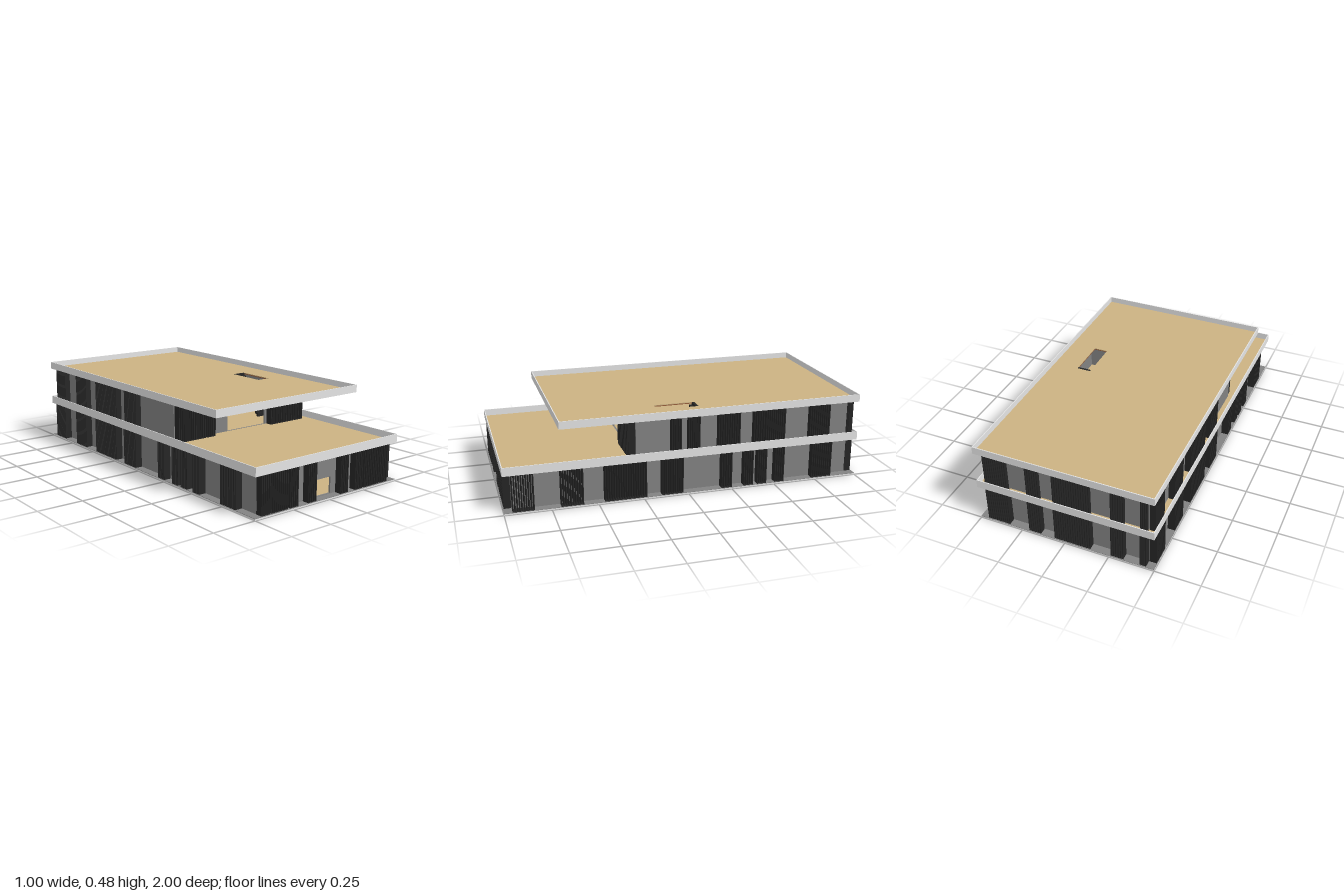
import * as THREE from 'three';
import { mergeGeometries } from 'three/addons/utils/BufferGeometryUtils.js';

const mat = (name, color) => Object.assign(new THREE.MeshStandardMaterial({ color }), { name });

export function createModel() {
  const root = new THREE.Group();
  root.name = 'pavilion';
  const wallGrey = mat('wall grey', 0x828282);
  const trimGrey = mat('light trim grey', 0xe4e4e4);
  const tan = mat('floor tan', 0xcbb282);
  const brown = mat('soffit brown', 0x985f3c);
  const black = mat('fin black', 0x252525);

  const add = (name, geo, material) => {
    const m = new THREE.Mesh(geo, material);
    m.name = name;
    root.add(m);
  };
  // Box given by its minimum and maximum corners
  const boxGeo = (x0, x1, y0, y1, z0, z1) =>
    new THREE.BoxGeometry(x1 - x0, y1 - y0, z1 - z0)
      .translate((x0 + x1) / 2, (y0 + y1) / 2, (z0 + z1) / 2);
  const rect = (Type, x0, x1, y0, y1) => new Type([
    [x0, y0], [x1, y0], [x1, y1], [x0, y1],
  ].map(([x, y]) => new THREE.Vector2(x, y)));
  // Rectangular panel with an optional rectangular opening
  const panel = (outer, hole, depth) => {
    const s = rect(THREE.Shape, ...outer);
    if (hole) s.holes.push(rect(THREE.Path, ...hole));
    return new THREE.ExtrudeGeometry(s, { depth, bevelEnabled: false });
  };
  // Horizontal plate whose underside is at y
  const plate = (x0, x1, z0, z1, y, depth, hole) =>
    panel([x0, x1, -z1, -z0], hole && [hole[0], hole[1], -hole[3], -hole[2]], depth)
      .rotateX(-Math.PI / 2).translate(0, y, 0);

  // Ground slab with grey paving and the interior floor
  add('baseSlab', boxGeo(-0.5, 0.5, 0, 0.008, -1, 1), trimGrey);
  add('paving', boxGeo(-0.5, 0.5, 0.008, 0.01, -1, 1), wallGrey);
  add('groundFloor', boxGeo(-0.445, 0.445, 0.01, 0.013, -0.945, 0.945), tan);

  // Roof deck: brown soffit, tan top and a thin parapet
  const deck = (name, z0, z1, y0, y1, hole) => {
    add(name + 'Soffit', plate(-0.495, 0.495, z0 + 0.005, z1 - 0.005, y0, 0.005, hole), brown);
    add(name + 'Top', plate(-0.495, 0.495, z0 + 0.005, z1 - 0.005, y0 + 0.005, 0.004, hole), tan);
    add(name + 'Parapet', plate(-0.5, 0.5, z0, z1, y0, y1 - y0,
      [-0.495, 0.495, z0 + 0.005, z1 - 0.005]), trimGrey);
  };
  const stairHole = [0.27, 0.35, -0.1, 0.135];
  deck('lowerRoof', -1, 1, 0.215, 0.262);
  deck('upperRoof', -1, 0.7, 0.44, 0.482, stairHole);

  // Hollow storey walls with an opening at the front
  const walls = (name, y0, y1, z0, z1, door) => {
    add(name + 'FrontWall', panel([-0.455, 0.455, y0, y1], door, 0.01)
      .translate(0, 0, z1 - 0.01), wallGrey);
    add(name + 'BackWall', boxGeo(-0.455, 0.455, y0, y1, z0, z0 + 0.01), wallGrey);
    for (const s of [-1, 1]) {
      add(name + 'SideWall', boxGeo(-0.005, 0.005, y0, y1, z0 + 0.01, z1 - 0.01)
        .translate(s * 0.45, 0, 0), wallGrey);
    }
  };
  walls('lower', 0.01, 0.215, -0.955, 0.955, [-0.05, 0.047, 0.0131, 0.102]);
  walls('upper', 0.224, 0.44, -0.95, 0.285, [-0.088, 0.188, 0.2245, 0.355]);

  // Groups of upright fins standing in front of one wall, with end rails
  const fins = (name, groups, y0, y1, alongX, d0, d1) => {
    const geos = [];
    const bar = (a0, a1, b0, b1) => geos.push(alongX
      ? boxGeo(a0, a1, b0, b1, d0, d1) : boxGeo(d0, d1, b0, b1, a0, a1));
    for (const [a, b] of groups) {
      const n = Math.max(2, Math.round((b - a) / 0.0135));
      for (let i = 0; i <= n; i++) {
        const c = a + 0.0025 + (b - a - 0.005) * i / n;
        bar(c - 0.0025, c + 0.0025, y0, y1);
      }
      bar(a, b, y0, y0 + 0.003);
      bar(a, b, y1 - 0.003, y1);
    }
    add(name, mergeGeometries(geos), black);
  };

  const lowerRight = [[0.84, 0.955], [0.58, 0.7], [0.235, 0.465], [0.03, 0.15], [-0.25, -0.19],
    [-0.375, -0.32], [-0.455, -0.4], [-0.56, -0.505], [-0.85, -0.73]];
  const lowerLeft = lowerRight.map(([a, b]) => [-b, -a]);
  const upperRight = [[0.04, 0.095], [-0.065, 0], [-0.295, -0.17],
    [-0.435, -0.375], [-0.56, -0.445], [-0.83, -0.71]];
  const upperLeft = [[-0.95, -0.84], [-0.7, -0.58], [-0.465, -0.235], [-0.15, -0.03]];
  const back = [[0.325, 0.455], [0.14, 0.21], [-0.145, 0.06], [-0.33, -0.26], [-0.455, -0.42]];
  const lowerFront = [[-0.455, -0.4], [-0.394, -0.283], [-0.27, -0.215], [-0.147, -0.09],
    [0.083, 0.137], [0.19, 0.245], [0.258, 0.37], [0.38, 0.437]];
  const upperFront = [[-0.45, -0.333], [-0.327, -0.272], [-0.26, -0.203],
    [0.203, 0.258], [0.268, 0.38], [0.39, 0.45]];

  fins('lowerFrontFins', lowerFront, 0.01, 0.215, true, 0.956, 0.995);
  fins('lowerBackFins', back, 0.01, 0.215, true, -0.995, -0.956);
  fins('lowerRightFins', lowerRight, 0.01, 0.215, false, 0.456, 0.497);
  fins('lowerLeftFins', lowerLeft, 0.01, 0.215, false, -0.497, -0.456);
  fins('upperFrontFins', upperFront, 0.224, 0.44, true, 0.286, 0.325);
  fins('upperBackFins', back, 0.224, 0.44, true, -0.99, -0.966);
  fins('upperRightFins', upperRight, 0.224, 0.44, false, 0.456, 0.49);
  fins('upperLeftFins', upperLeft, 0.224, 0.44, false, -0.49, -0.456);

  // Stair from the upper floor to the roof
  const treads = [];
  const steps = 16;
  for (let i = 0; i < steps; i++) {
    const z = -0.1 + 0.235 * i / steps;
    const y = 0.448 - 0.216 * i / steps;
    treads.push(boxGeo(0.271, 0.349, Math.max(0.2245, y - 0.02), y, z + 0.0005, z + 0.0147));
  }
  add('roofStair', mergeGeometries(treads), black);

  return root;
}
